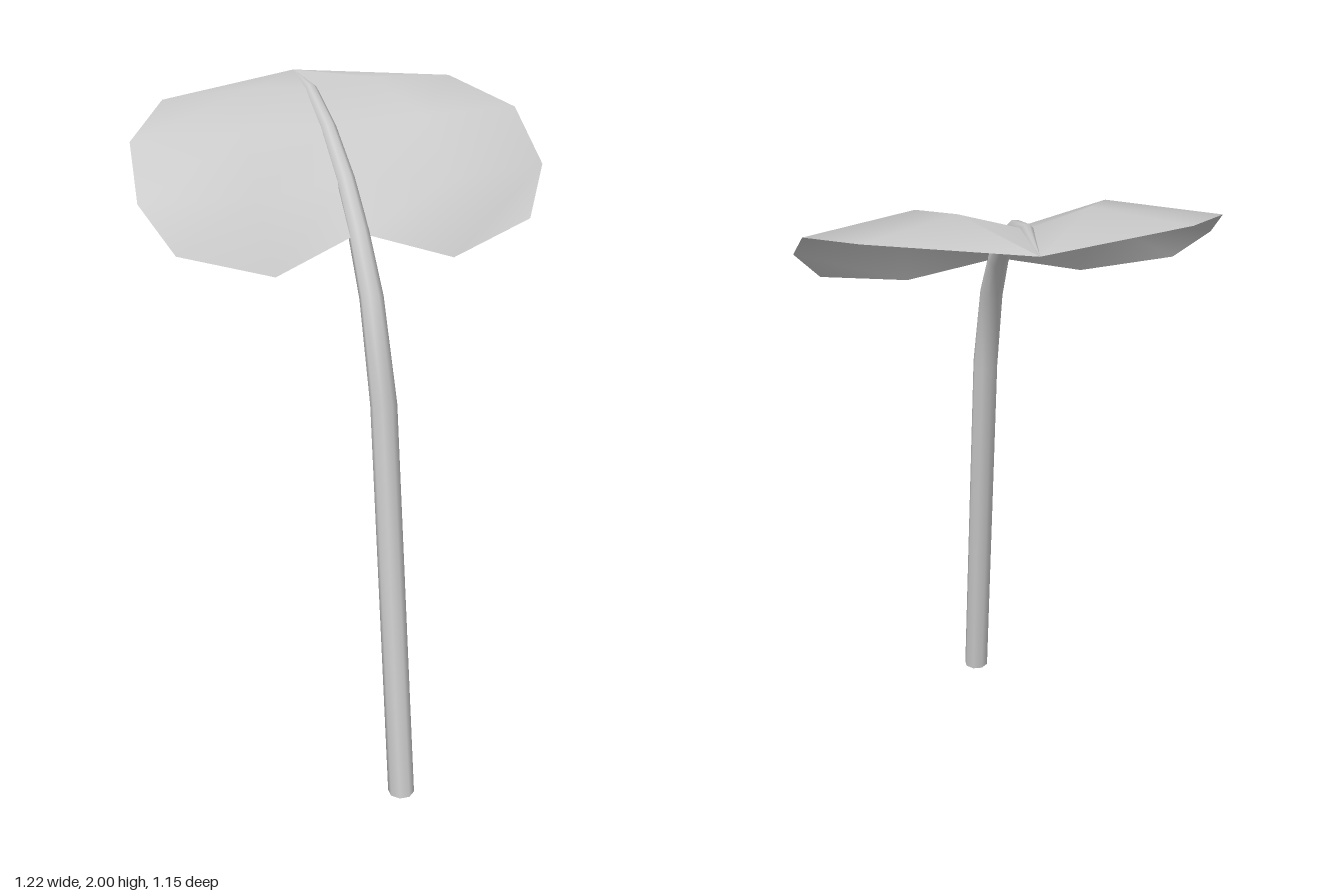
import * as THREE from 'three';

// Smooth surface through rows of points; a first row may collapse to one tip.
function skin(rows, tipFirst, closed) {
  const n = rows[0].length, index = [];
  for (let r = 0; r < rows.length - 1; r++) {
    for (let c = 0; c < (closed ? n : n - 1); c++) {
      const a = r * n + c, b = r * n + (c + 1) % n, d = a + n, e = b + n;
      if (!(tipFirst && r === 0)) index.push(a, d, b);
      index.push(b, d, e);
    }
  }
  const g = new THREE.BufferGeometry();
  g.setAttribute('position', new THREE.Float32BufferAttribute(rows.flat(2), 3));
  g.setIndex(index);
  g.computeVertexNormals();
  return g;
}

export function createModel() {
  const group = new THREE.Group();
  const material = new THREE.MeshStandardMaterial({ color: 0xcccccc, side: THREE.DoubleSide });

  // Leaf: each row holds midrib, crown and rim points of one half, from tip to notch
  const half = [
    [[0, 1.965, -0.575], [0, 1.965, -0.575], [0, 1.965, -0.575]],
    [[0, 1.965, -0.37], [0.18, 2.0, -0.32], [0.45, 1.96, -0.4]],
    [[0, 1.9, -0.18], [0.27, 1.94, -0.1], [0.59, 1.91, -0.19]],
    [[0, 1.8, 0], [0.29, 1.81, 0.1], [0.61, 1.79, 0]],
    [[0, 1.69, 0.14], [0.265, 1.61, 0.205], [0.53, 1.67, 0.12]],
  ];
  const mirror = ([x, y, z]) => [-x, y, z];
  const leafRows = half.map(([m, k, o]) => [mirror(o), mirror(k), m, k, o]);
  const leaf = new THREE.Mesh(skin(leafRows, true, false), material);
  leaf.name = 'leaf';
  group.add(leaf);

  // Stem: x, y, z, radius along the path, running into the leaf as its midrib
  const path = [
    [0, 1.965, -0.57, 0.001], [0, 1.96, -0.37, 0.02], [0, 1.9, -0.18, 0.024],
    [0, 1.8, 0, 0.028], [0, 1.69, 0.13, 0.031], [0.003, 1.535, 0.25, 0.035],
    [0.006, 1.25, 0.365, 0.039], [0.02, 0, 0.537, 0.04],
  ];
  const sides = 8;
  const points = path.map(p => new THREE.Vector3(p[0], p[1], p[2]));
  const stemRows = path.map(([x, y, z, r], i) => {
    const last = i === path.length - 1;
    const dir = points[Math.min(i + 1, path.length - 1)].clone().sub(points[i]).normalize();
    if (i > 0) dir.add(points[i].clone().sub(points[i - 1]).normalize()).normalize();
    if (last) dir.set(0, -1, 0);
    const up = new THREE.Vector3(1, 0, 0).cross(dir).normalize();
    return Array.from({ length: sides }, (_, k) => {
      const a = -(k + 0.5) / sides * Math.PI * 2;
      return [x + r * Math.cos(a), y + r * Math.sin(a) * up.y, z + r * Math.sin(a) * up.z];
    });
  });
  const stem = new THREE.Mesh(skin(stemRows, false, true), material);
  stem.name = 'stem';
  group.add(stem);

  // Flat cut end of the stem
  const cap = new THREE.Mesh(new THREE.CircleGeometry(0.04, sides, Math.PI / sides), material);
  cap.name = 'stemEnd';
  cap.rotation.x = Math.PI / 2;
  cap.position.set(0.02, 0, 0.537);
  group.add(cap);

  return group;
}
